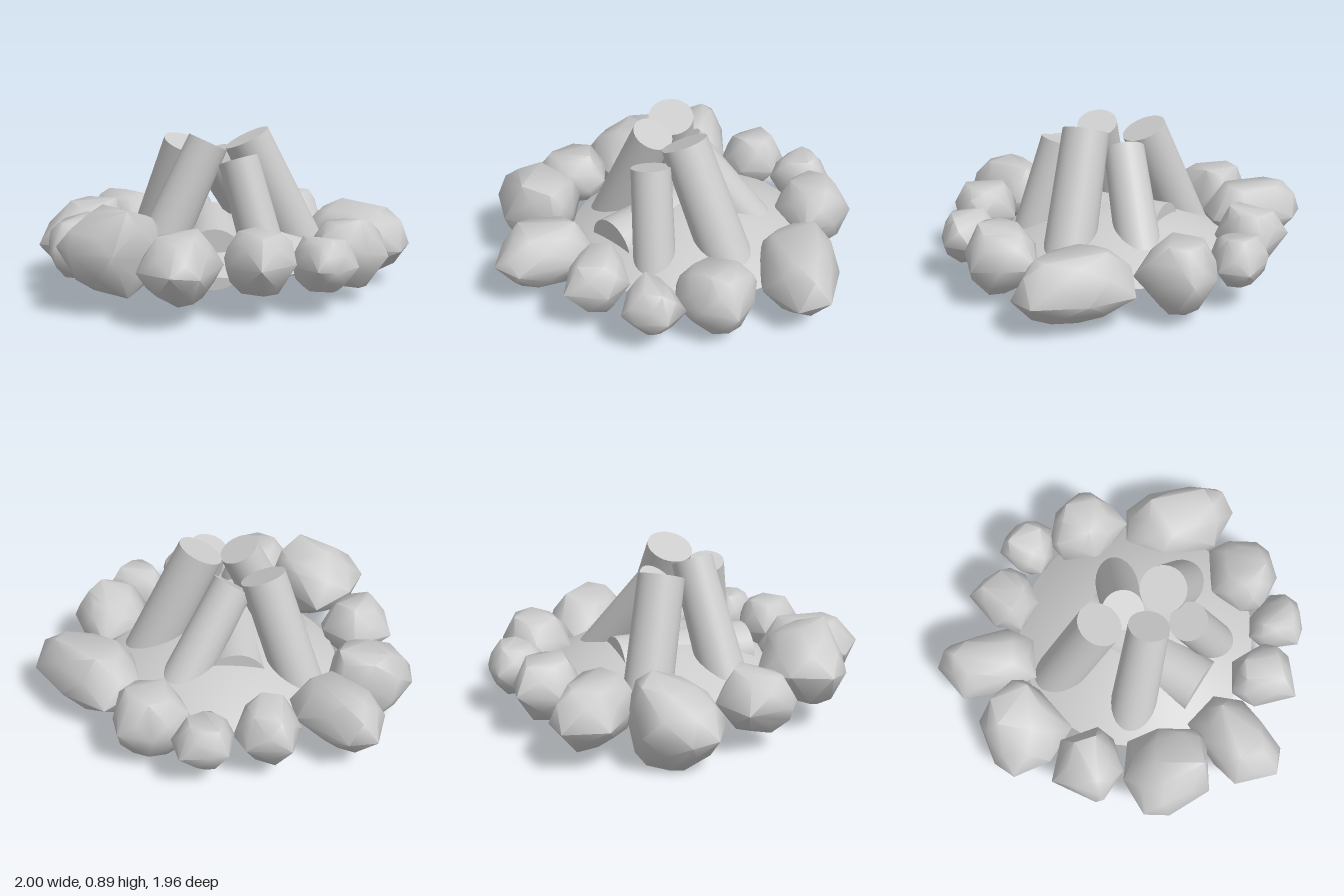
import * as THREE from 'three';
import { toCreasedNormals } from 'three/addons/utils/BufferGeometryUtils.js';
import { ConvexGeometry } from 'three/addons/geometries/ConvexGeometry.js';

const grey = new THREE.MeshStandardMaterial({ color: 0xcccccc });
const greyOpen = new THREE.MeshStandardMaterial({ color: 0xcccccc, side: THREE.DoubleSide });

function seeded(seed) {
  let s = seed * 7919 + 13;
  return () => (s = (s * 16807) % 2147483647) / 2147483647;
}

function add(parent, name, geometry, material = grey) {
  const mesh = new THREE.Mesh(geometry, material);
  mesh.name = name;
  parent.add(mesh);
  return mesh;
}

// A lumpy stone: hull of rings that shrink above and below a ground outline
// [x, z, x, z, ...]; mirror = -1 flips the outline front to back.
// The peak [x, z] shifts the top and bottom away from the middle.
function stone(outline, mirror, y0, y1, seed, peak = [0, 0]) {
  const rand = seeded(seed);
  const rim = [];
  for (let i = 0; i < outline.length; i += 2) {
    rim.push(new THREE.Vector2(outline[i], outline[i + 1] * mirror));
  }
  const centre = new THREE.Vector2();
  rim.forEach((p) => centre.addScaledVector(p, 1 / rim.length));

  // height fraction, scale, shift along the outline
  const rings = [[0.08, 0.5, 0.2], [0.24, 0.85, 0.5], [0.48, 1, 0], [0.74, 0.9, 0.5], [0.92, 0.6, 0.1]];
  const points = [];
  for (const [t, scale, shift] of rings) {
    const lean = Math.pow(Math.abs(t - 0.48) / 0.5, 2);
    rim.forEach((p, i) => {
      const q = p.clone().lerp(rim[(i + 1) % rim.length], shift).sub(centre);
      q.multiplyScalar(shift ? scale + (rand() - 0.5) * 0.1 : 1).add(centre);
      const y = t + (rand() - 0.5) * 0.13;
      points.push(new THREE.Vector3(q.x + lean * peak[0], y, q.y + lean * peak[1] * mirror));
    });
  }
  // fit the height exactly
  const { min, max } = new THREE.Box3().setFromPoints(points);
  points.forEach((p) => { p.y = y0 + ((p.y - min.y) / (max.y - min.y)) * (y1 - y0); });
  return toCreasedNormals(new ConvexGeometry(points), 1.0);
}

// A round log between the centres of its two end faces.
function log(parent, name, bottom, top, rBottom, rTop) {
  const a = new THREE.Vector3(...bottom);
  const b = new THREE.Vector3(...top);
  const axis = b.clone().sub(a);
  const mesh = add(parent, name, new THREE.CylinderGeometry(rTop, rBottom, axis.length(), 28));
  mesh.position.copy(a).add(b).multiplyScalar(0.5);
  mesh.quaternion.setFromUnitVectors(new THREE.Vector3(0, 1, 0), axis.normalize());
}

export function createModel() {
  const model = new THREE.Group();
  model.name = 'campfire';

  // Ring of stones, most of them in front and back pairs
  const ring = new THREE.Group();
  ring.name = 'stoneRing';
  model.add(ring);
  const long = [-0.68, -0.78, -0.56, -0.98, -0.41, -0.96, -0.22, -0.69, -0.24, -0.53, -0.44, -0.44, -0.61, -0.64];
  const middle = [-0.23, -0.76, -0.11, -0.96, 0.1, -0.86, 0.125, -0.71, -0.02, -0.57, -0.2, -0.62];
  const small = [0.125, -0.74, 0.2, -0.89, 0.3, -0.89, 0.44, -0.82, 0.44, -0.66, 0.27, -0.59, 0.15, -0.62];
  const corner = [0.285, -0.53, 0.35, -0.64, 0.54, -0.67, 0.7, -0.58, 0.69, -0.42, 0.6, -0.25, 0.34, -0.34];
  const side = [-1.0, -0.37, -0.96, -0.5, -0.77, -0.66, -0.49, -0.56, -0.5, -0.4, -0.64, -0.16, -0.86, -0.21];
  const left = [-1.0, 0.1, -0.97, -0.16, -0.74, -0.19, -0.61, -0.02, -0.64, 0.08, -0.8, 0.19, -0.98, 0.14];
  const right = [0.46, -0.05, 0.49, -0.22, 0.71, -0.29, 0.9, -0.1, 1.0, 0.17, 0.89, 0.31, 0.65, 0.27, 0.49, 0.07];
  const stones = [
    ['backLongStone', long, 1, 0.09, 0.43],
    ['backMiddleStone', middle, 1, 0.1, 0.43],
    ['backSmallStone', small, 1, 0.12, 0.4],
    ['backCornerStone', corner, 1, 0.06, 0.44],
    ['backSideStone', side, 1, 0.0, 0.44, [0.08, -0.06]],
    ['frontLongStone', long, -1, 0.11, 0.44],
    ['frontMiddleStone', middle, -1, 0.12, 0.44],
    ['frontSmallStone', small, -1, 0.12, 0.39],
    ['frontCornerStone', corner, -1, 0.07, 0.44],
    ['frontSideStone', side, -1, 0.1, 0.54, [0.08, -0.06]],
    ['leftStone', left, 1, 0.1, 0.43],
    ['rightStone', right, 1, 0.04, 0.43],
  ];
  stones.forEach(([name, outline, mirror, y0, y1, peak], i) =>
    add(ring, name, stone(outline, mirror, y0, y1, i + 3, peak)));

  // Low mound of ash, open underneath
  const profile = [];
  for (let i = 0; i <= 10; i++) {
    const r = 0.66 * (1 - i / 10);
    profile.push(new THREE.Vector2(r, 0.385 - 0.45 * r * r));
  }
  add(model, 'ashMound', new THREE.LatheGeometry(profile, 40), greyOpen);

  // Leaning logs and the one lying half buried in the ash
  const logs = new THREE.Group();
  logs.name = 'logs';
  model.add(logs);
  log(logs, 'rightLog', [0.4, 0.13, 0.16], [0.06, 0.83, 0.13], 0.14, 0.126);
  log(logs, 'leftLog', [-0.475, 0.13, 0.12], [-0.15, 0.81, 0.12], 0.13, 0.11);
  log(logs, 'frontLog', [0.1, 0.12, 0.46], [-0.035, 0.735, 0.3], 0.115, 0.106);
  log(logs, 'backLeftLog', [-0.38, 0.13, -0.36], [-0.21, 0.78, -0.13], 0.13, 0.124);
  log(logs, 'backRightLog', [0.345, 0.12, -0.25], [-0.07, 0.7, -0.05], 0.125, 0.112);
  log(logs, 'lyingLog', [-0.205, 0.24, 0.44], [-0.02, 0.25, -0.295], 0.16, 0.165);

  return model;
}
